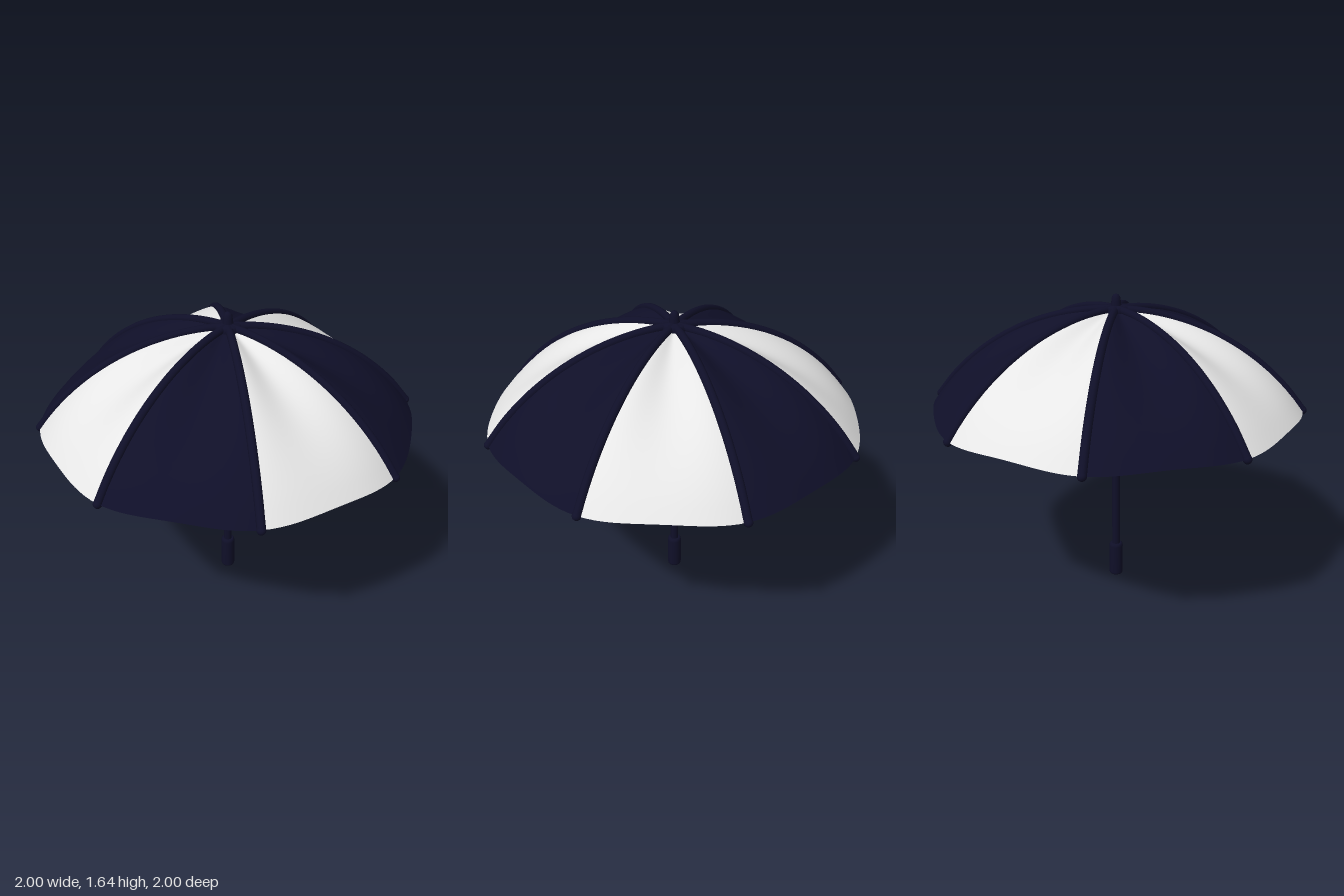
import * as THREE from 'three';

const navy = new THREE.MeshStandardMaterial({ color: 0x0f0f28, side: THREE.DoubleSide });
navy.name = 'navy';
const white = new THREE.MeshStandardMaterial({ color: 0xe6e6e6, side: THREE.DoubleSide });
white.name = 'white';

const PANELS = 8, STEP = (Math.PI * 2) / PANELS;
const RIM = 0.978, APEX = 1.562, DROP = 0.5;
const DOME = (RIM * RIM + DROP * DROP) / (2 * DROP); // radius of the rib arc
const domeY = (r) => APEX - DOME + Math.sqrt(DOME * DOME - r * r);

function add(parent, name, geometry, material) {
  const mesh = new THREE.Mesh(geometry, material);
  mesh.name = name;
  parent.add(mesh);
  return mesh;
}

// Solid of revolution from [radius, height] points
const lathe = (pts, seg = 24) =>
  new THREE.LatheGeometry(pts.map(([x, y]) => new THREE.Vector2(x, y)), seg);

// One cloth panel: sags between its two ribs, with a scalloped rim
function panelGeometry(start) {
  const nu = 20, nt = 18, pos = [], index = [];
  for (let i = 0; i <= nu; i++) {
    const u = i / nu;
    for (let j = 0; j <= nt; j++) {
      const t = j / nt, a = start + t * STEP;
      const s = Math.sin(Math.PI * t) ** 2;
      const r = RIM * u;
      const rr = r - 0.022 * s * u ** 3;
      const y = domeY(r) - 0.05 * s * Math.sin(Math.PI * u) + 0.012 * s * u ** 4;
      pos.push(rr * Math.cos(a), y, rr * Math.sin(a));
      if (i < nu && j < nt) {
        const p = i * (nt + 1) + j, q = p + nt + 1;
        index.push(p, p + 1, q, p + 1, q + 1, q);
      }
    }
  }
  const g = new THREE.BufferGeometry();
  g.setAttribute('position', new THREE.Float32BufferAttribute(pos, 3));
  g.setIndex(index);
  g.computeVertexNormals();
  return g;
}

export function createModel() {
  const model = new THREE.Group();
  model.name = 'umbrella';

  // Canopy panels in alternating colours, with a rib along each seam
  const canopy = new THREE.Group();
  canopy.name = 'canopy';
  model.add(canopy);
  const arc = [];
  for (let i = 0; i <= 10; i++) {
    const r = (RIM * i) / 10;
    arc.push(new THREE.Vector3(r, domeY(r), 0));
  }
  const ribGeometry = new THREE.TubeGeometry(new THREE.CatmullRomCurve3(arc), 32, 0.021, 10);
  const tipGeometry = new THREE.SphereGeometry(0.022, 12, 8);
  for (let k = 0; k < PANELS; k++) {
    add(canopy, 'panel', panelGeometry(k * STEP), k % 2 ? navy : white);
    const rib = new THREE.Group();
    rib.name = 'rib';
    rib.rotation.y = k * STEP;
    add(rib, 'ribRod', ribGeometry, navy);
    add(rib, 'ribTip', tipGeometry, navy).position.set(RIM, domeY(RIM), 0);
    canopy.add(rib);
  }

  // Crown disc and rounded finial
  add(model, 'crown', lathe([[0, 1.53], [0.06, 1.53], [0.072, 1.555], [0.06, 1.578], [0, 1.584]]), navy);
  add(model, 'finial', lathe([[0.03, 1.56], [0.025, 1.6], [0.022, 1.622], [0.013, 1.636], [0, 1.64]], 16), navy);

  // Shaft and grip
  const shaft = add(model, 'shaft', new THREE.CylinderGeometry(0.024, 0.022, 1.4, 20), navy);
  shaft.position.y = 0.86;
  add(model, 'grip', lathe([
    [0, 0], [0.03, 0], [0.036, 0.004], [0.039, 0.014],
    [0.039, 0.182], [0.036, 0.194], [0.03, 0.2], [0, 0.2],
  ]), navy);

  return model;
}
